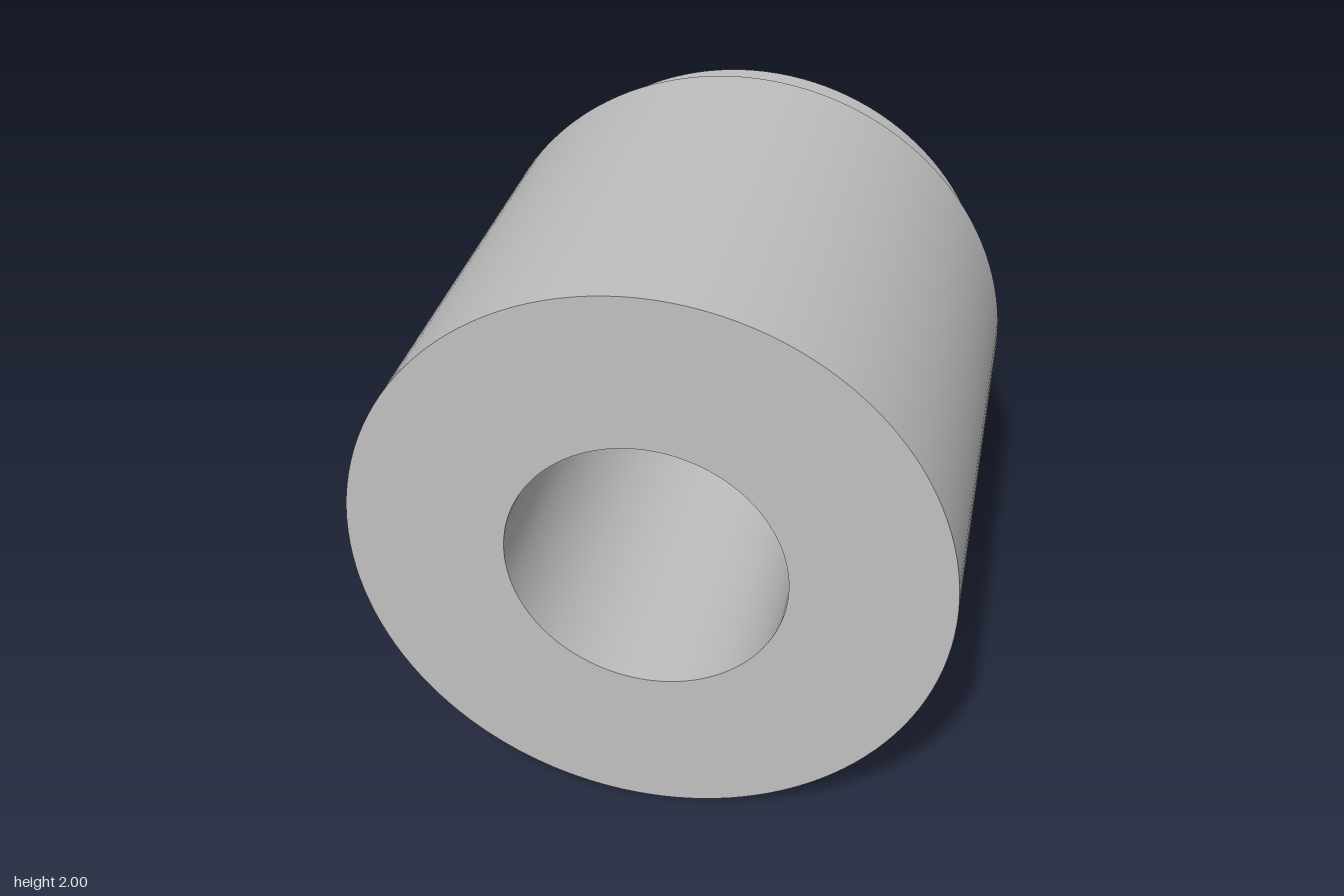
import * as THREE from 'three';

// Stepped bushing: bored cylinder with a reduced shoulder at the back.
export function createModel() {
  const group = new THREE.Group();
  group.name = 'bushing';
  const metal = new THREE.MeshStandardMaterial({ color: 0xc0c0c0 });
  metal.name = 'grey metal';

  const outer = 1, neck = 0.93, bore = 0.467;
  const back = -0.93, step = -0.7, front = 0.93;

  // One smooth surface of revolution about z, from (r0, z0) to (r1, z1)
  const surface = (name, r0, z0, r1, z1) => {
    const profile = [new THREE.Vector2(r0, z0), new THREE.Vector2(r1, z1)];
    const geometry = new THREE.LatheGeometry(profile, 128);
    geometry.rotateX(Math.PI / 2);
    geometry.translate(0, outer, 0);
    const mesh = new THREE.Mesh(geometry, metal);
    mesh.name = name;
    group.add(mesh);
  };

  // Separate surfaces keep the edges between them sharp
  surface('backFace', bore, back, neck, back);
  surface('neckWall', neck, back, neck, step);
  surface('shoulder', neck, step, outer, step);
  surface('bodyWall', outer, step, outer, front);
  surface('frontFace', outer, front, bore, front);
  surface('boreWall', bore, front, bore, back);

  return group;
}
